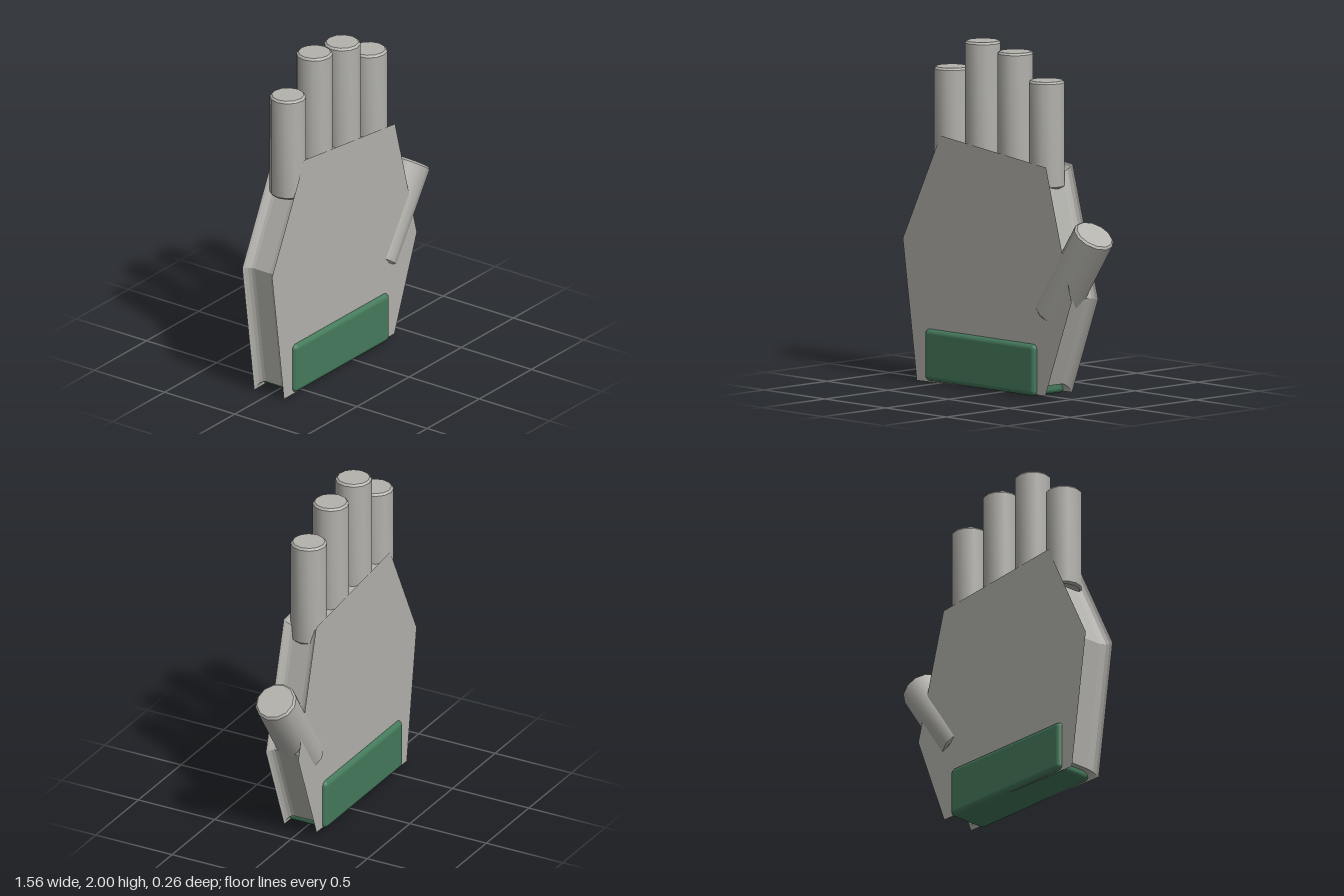
import * as THREE from 'three';
import { toCreasedNormals } from 'three/addons/utils/BufferGeometryUtils.js';
import { RoundedBoxGeometry } from 'three/addons/geometries/RoundedBoxGeometry.js';

const grey = new THREE.MeshStandardMaterial({ color: 0xb3b2ad });
grey.name = 'glove grey';
const green = new THREE.MeshStandardMaterial({ color: 0x457a5c });
green.name = 'cuff green';

// Cylinder standing on its origin, with a small chamfer at both ends
function digit(name, radius, length) {
  const c = 0.012;
  const profile = [
    [0, 0], [radius - c, 0], [radius, c],
    [radius, length - c], [radius - c, length], [0, length],
  ].map(([x, y]) => new THREE.Vector2(x, y));
  const geometry = toCreasedNormals(new THREE.LatheGeometry(profile, 12), 0.6);
  const mesh = new THREE.Mesh(geometry, grey);
  mesh.name = name;
  return mesh;
}

export function createModel() {
  const group = new THREE.Group();
  group.name = 'glove';

  // Palm: sharp-edged outline whose side walls curve inward between the faces
  const outline = [
    [-0.67, 0], [0.39, 0.02], [0.605, 0.58],
    [0.395, 1.34], [-0.475, 1.435], [-0.785, 0.81],
  ].map(([x, y]) => new THREE.Vector2(x, y));
  const palmGeometry = new THREE.ExtrudeGeometry(new THREE.Shape(outline), {
    depth: 0.112, bevelThickness: 0.05, bevelSize: -0.05, bevelSegments: 4,
  });
  palmGeometry.translate(0, 0, -0.056);
  const palm = new THREE.Mesh(palmGeometry, grey);
  palm.name = 'palm';
  group.add(palm);

  // Four fingers: x position and tip height
  const fingers = [
    ['littleFinger', -0.49, 1.825],
    ['ringFinger', -0.235, 2.0],
    ['middleFinger', 0.032, 1.965],
    ['indexFinger', 0.29, 1.825],
  ];
  for (const [name, x, tip] of fingers) {
    const finger = digit(name, 0.105, tip - 1.205);
    finger.position.set(x, 1.205, 0);
    group.add(finger);
  }

  // Thumb leans outward and is slightly thicker than the palm
  const base = new THREE.Vector3(0.35, 0.478, 0);
  const along = new THREE.Vector3(0.685, 0.972, 0).sub(base);
  const thumb = digit('thumb', 0.122, along.length());
  thumb.position.copy(base);
  thumb.quaternion.setFromUnitVectors(new THREE.Vector3(0, 1, 0), along.normalize());
  group.add(thumb);

  // Cuff band around the wrist
  const cuff = new THREE.Mesh(new RoundedBoxGeometry(0.91, 0.3, 0.262, 4, 0.03), green);
  cuff.name = 'cuff';
  cuff.position.set(-0.135, 0.16, 0);
  group.add(cuff);

  return group;
}
